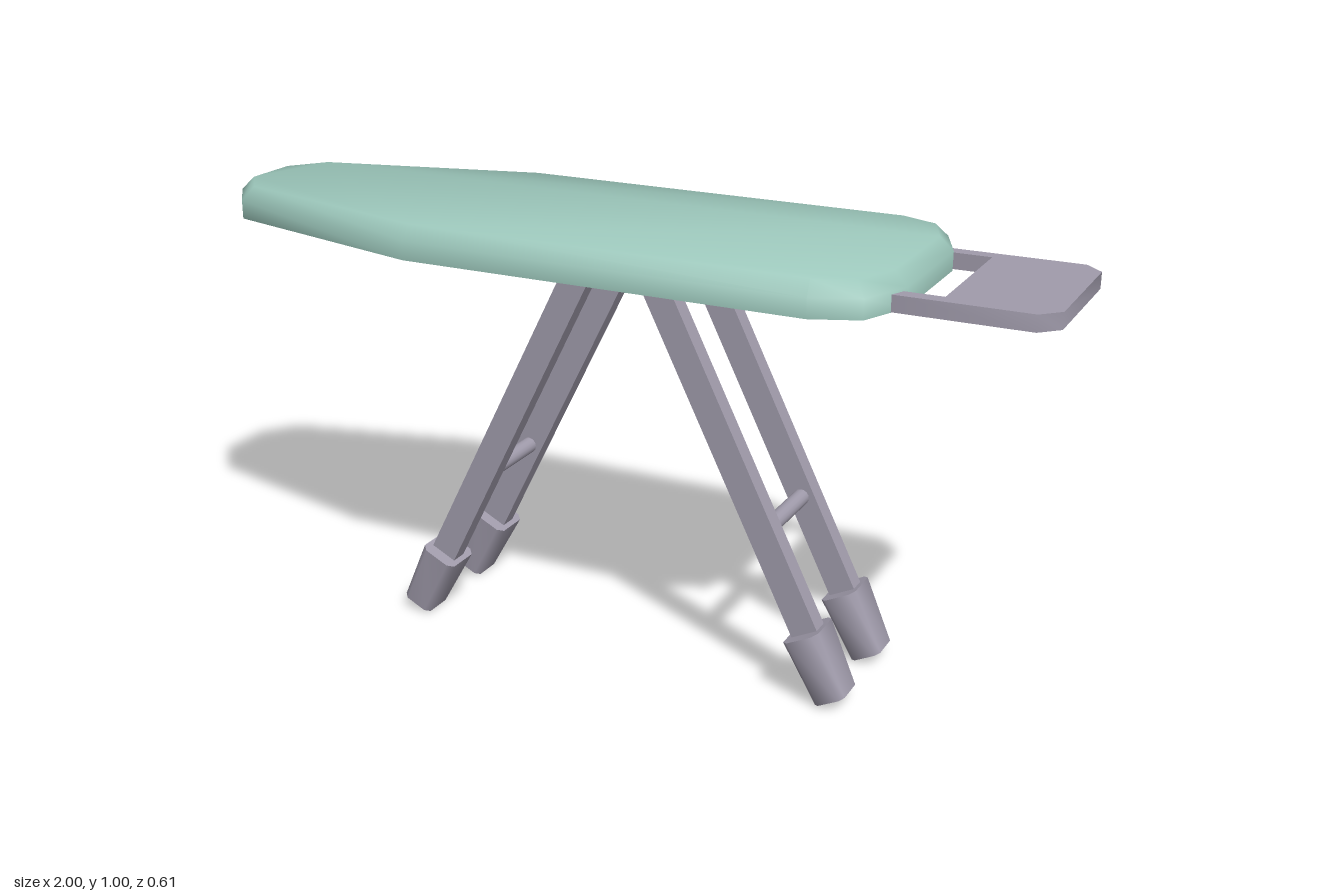
import * as THREE from 'three';
import { toCreasedNormals } from 'three/addons/utils/BufferGeometryUtils.js';

const cover = new THREE.MeshStandardMaterial({ color: 0x9dc8bc });
cover.name = 'greenCover';
const frame = new THREE.MeshStandardMaterial({ color: 0xa09bab });
frame.name = 'greyFrame';

const CREASE = Math.PI / 3;
const UNDERSIDE = 0.93;   // height of the board's underside
const LEG_CENTRE = 0.035; // x about which the two leg pairs mirror
const LEG_Z = 0.116;
const TILT = Math.atan(0.5);

const toShape = (points) => new THREE.Shape(points.map(([x, y]) => new THREE.Vector2(x, y)));

// Extrude a plan outline upwards
function slab(shape, options) {
  return new THREE.ExtrudeGeometry(shape, { bevelEnabled: false, ...options }).rotateX(-Math.PI / 2);
}

function addMesh(parent, name, geometry, material) {
  const mesh = new THREE.Mesh(geometry, material);
  mesh.name = name;
  parent.add(mesh);
  return mesh;
}

// Padded board: bevelled on top, flat underneath
function boardGeometry() {
  const half = [[-1, 0.075], [-0.925, 0.172], [-0.39, 0.307], [0.54, 0.307], [0.642, 0.265], [0.69, 0.15]];
  const outline = [...half.map(([x, z]) => [x, -z]), ...half.slice().reverse()];
  const geometry = slab(toShape(outline), {
    depth: 0.043, bevelEnabled: true, bevelSegments: 1,
    bevelSize: 0.03, bevelOffset: -0.03, bevelThickness: 0.03,
  });
  const pos = geometry.attributes.position;
  for (let i = 0; i < pos.count; i++) pos.setY(i, Math.max(0, pos.getY(i)));
  return toCreasedNormals(geometry, CREASE);
}

// Iron rest: plate with chamfered corners and a slot
function restGeometry() {
  const shape = toShape([[0.662, -0.193], [0.96, -0.193], [1, -0.153], [1, 0.153], [0.96, 0.193],
    [0.662, 0.193], [0.662, 0.16], [0.77, 0.16], [0.77, -0.16], [0.662, -0.16]]);
  return toCreasedNormals(slab(shape, { depth: 0.036 }), CREASE);
}

// Leg: slanted bar cut level where it meets the board
function legGeometry(side) {
  const xAt = (y) => 0.077 + 0.5 * (UNDERSIDE - y);
  const w = 0.036, foot = 0.08;
  const points = [[xAt(UNDERSIDE) - w, UNDERSIDE], [xAt(foot) - w, foot],
    [xAt(foot) + w, foot], [xAt(UNDERSIDE) + w, UNDERSIDE]];
  const shape = toShape(points.map(([x, y]) => [side * x, y]));
  return new THREE.ExtrudeGeometry(shape, { depth: 0.042, bevelEnabled: false }).translate(0, 0, -0.021);
}

// Foot: chamfered block, wider at the top
function footGeometry() {
  const a = 0.045, b = 0.0535, c = 0.014, length = 0.158;
  const shape = toShape([[-a, -b + c], [-a + c, -b], [a - c, -b], [a, -b + c],
    [a, b - c], [a - c, b], [-a + c, b], [-a, b - c]]);
  const geometry = slab(shape, { depth: length });
  const pos = geometry.attributes.position;
  for (let i = 0; i < pos.count; i++) {
    const k = 0.84 + 0.16 * pos.getY(i) / length;
    pos.setX(i, pos.getX(i) * k);
    pos.setZ(i, pos.getZ(i) * k);
  }
  return toCreasedNormals(geometry, CREASE);
}

export function createModel() {
  const model = new THREE.Group();
  model.name = 'ironingBoard';

  addMesh(model, 'board', boardGeometry(), cover).position.y = UNDERSIDE;
  addMesh(model, 'ironRest', restGeometry(), frame).position.y = UNDERSIDE + 0.001;

  const foot = footGeometry();
  const bar = new THREE.CylinderGeometry(0.019, 0.019, 0.2, 16).rotateX(Math.PI / 2);

  for (const side of [-1, 1]) {
    const pair = new THREE.Group();
    pair.name = side < 0 ? 'rightLegPair' : 'leftLegPair';
    pair.position.x = LEG_CENTRE;
    model.add(pair);

    const leg = legGeometry(side);
    for (const z of [-LEG_Z, LEG_Z]) {
      addMesh(pair, 'leg', leg, frame).position.z = z;
      const f = addMesh(pair, 'foot', foot, frame);
      f.position.set(side * 0.533, 0.017, z);
      f.rotation.z = side * TILT;
    }
    addMesh(pair, 'crossbar', bar, frame).position.set(side * 0.355, 0.374, 0);
  }
  return model;
}
